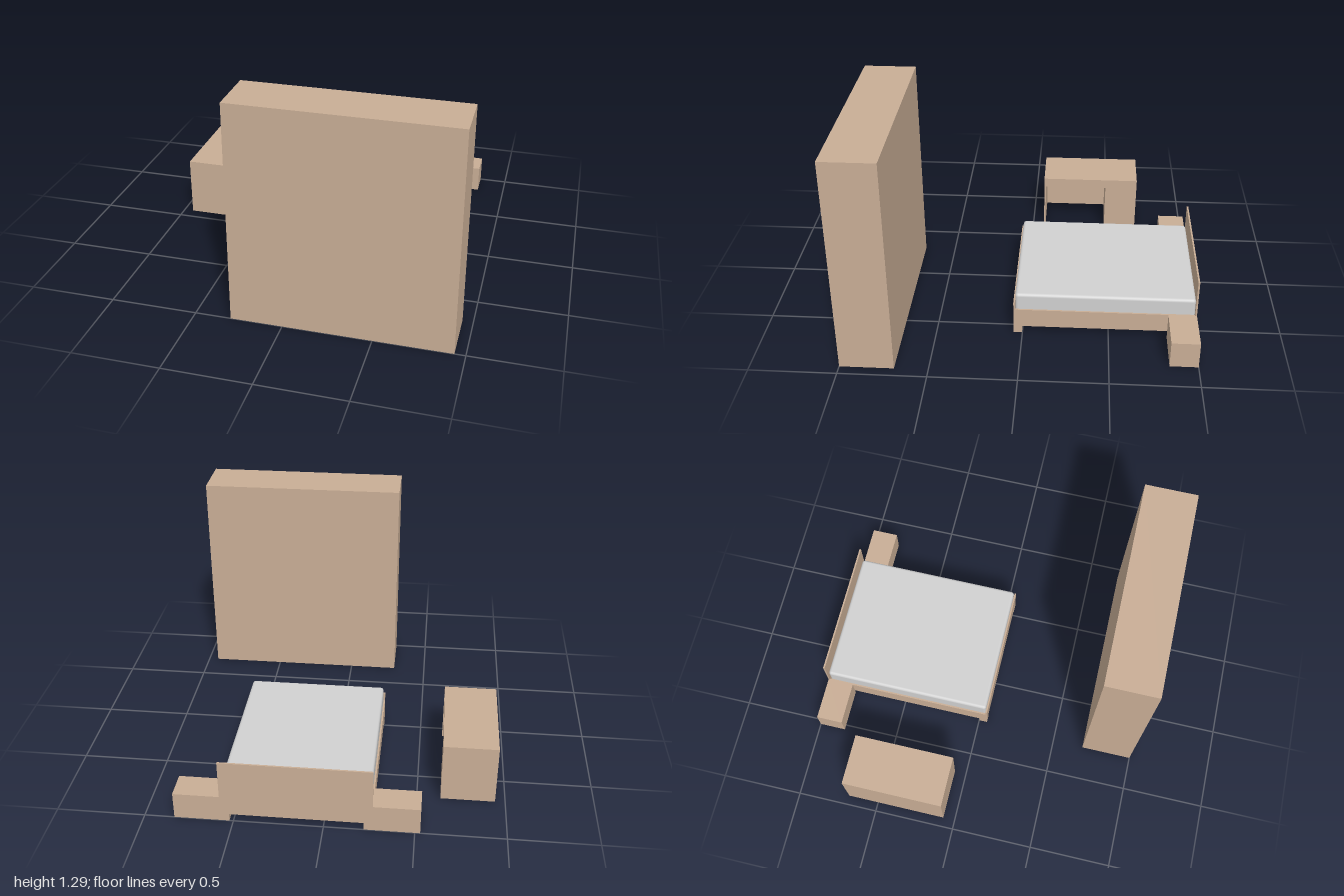
import * as THREE from 'three';
import { RoundedBoxGeometry } from 'three/addons/geometries/RoundedBoxGeometry.js';

export function createModel() {
  const wood = new THREE.MeshStandardMaterial({ name: 'light wood', color: 0xc8ad95 });
  const fabric = new THREE.MeshStandardMaterial({ name: 'mattress grey', color: 0xd0d0d0 });
  const model = new THREE.Group();
  model.name = 'bedroomFurniture';

  const group = (name) => {
    const g = new THREE.Group();
    g.name = name;
    model.add(g);
    return g;
  };

  // Wooden box given by its limits on each axis
  const box = (parent, name, [x0, x1], [y0, y1], [z0, z1]) => {
    const mesh = new THREE.Mesh(new THREE.BoxGeometry(x1 - x0, y1 - y0, z1 - z0), wood);
    mesh.position.set((x0 + x1) / 2, (y0 + y1) / 2, (z0 + z1) / 2);
    mesh.name = name;
    parent.add(mesh);
  };

  // Wardrobe
  box(model, 'wardrobe', [-0.295, 0.94], [0, 1.29], [0.692, 1]);

  // Desk: pedestal, top, thin side and back panels around the knee space
  const desk = group('desk');
  const dx = [-0.943, -0.635];
  box(desk, 'deskTop', dx, [0.3, 0.36], [-0.69, -0.073]);
  box(desk, 'deskPedestal', dx, [0, 0.3], [-0.69, -0.483]);
  box(desk, 'deskSidePanel', dx, [0, 0.3], [-0.083, -0.073]);
  box(desk, 'deskBackPanel', [-0.943, -0.933], [0, 0.3], [-0.483, -0.083]);

  // Bed frame
  const bed = group('bed');
  const L = -0.27, R = 0.572, B = -1, F = 0.052, t = 0.01, clear = 0.045;
  box(bed, 'headboard', [L, R], [clear, 0.39], [B, B + t]);
  box(bed, 'footboard', [L, R], [clear, 0.21], [F - t, F]);
  for (const x of [L, R - t]) box(bed, 'sideRail', [x, x + t], [clear, 0.16], [B + t, F - t]);
  for (const x of [L, R - 0.05])
    for (const z of [B, F - 0.05]) box(bed, 'bedLeg', [x, x + 0.05], [0, clear + 0.015], [z, z + 0.05]);

  // Mattress, set down between the rails
  const mattress = new THREE.Mesh(
    new RoundedBoxGeometry(R - L - 2 * t, 0.2, F - B - 2 * t, 4, 0.018), fabric);
  mattress.position.set((L + R) / 2, 0.16, (B + F) / 2);
  mattress.name = 'mattress';
  bed.add(mattress);

  // Nightstands on both sides of the headboard
  for (const [x0, x1] of [[-0.53, L], [R, 0.832]])
    box(model, 'nightstand', [x0, x1], [0, 0.16], [-1, -0.838]);

  return model;
}
